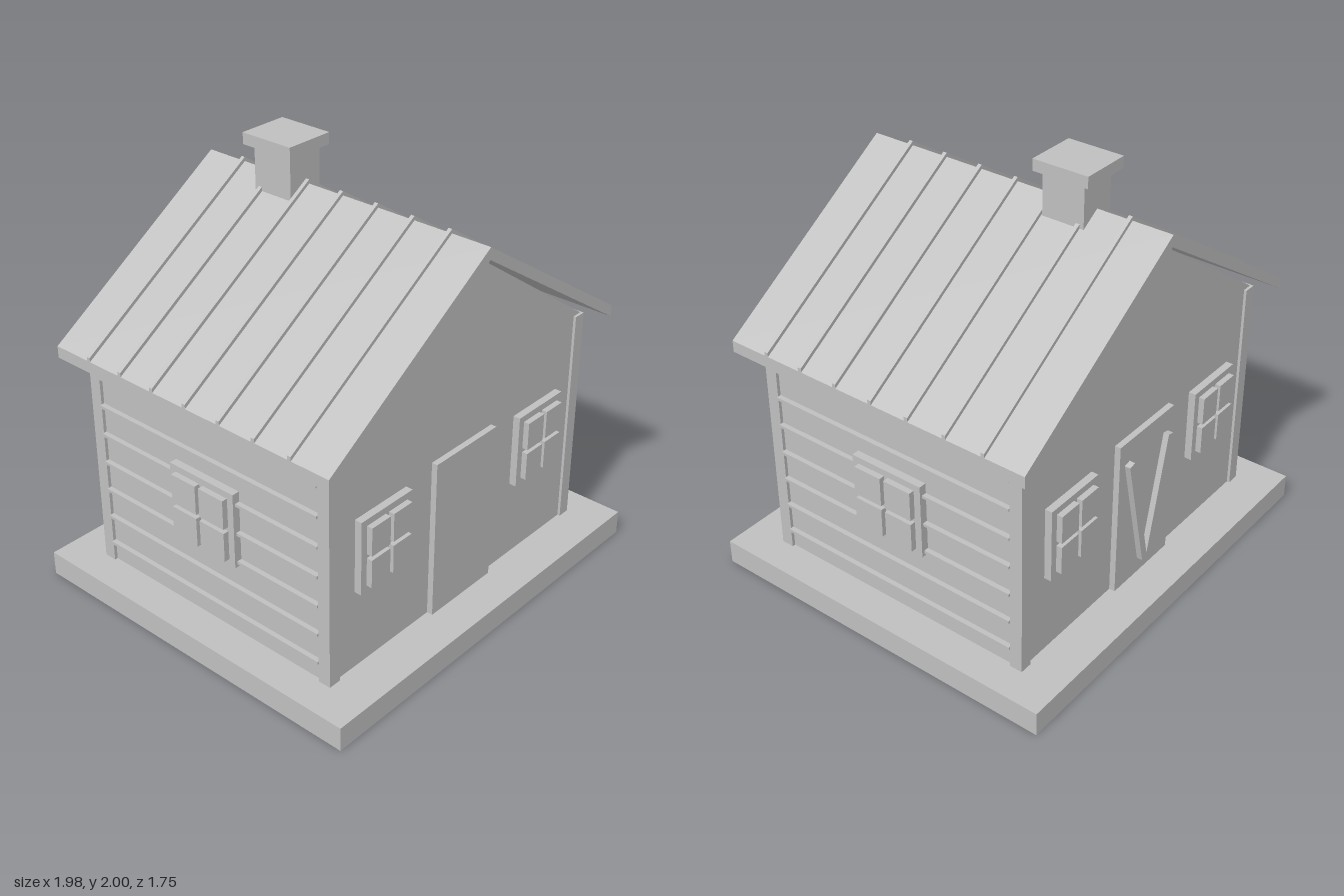
import * as THREE from 'three';

export function createModel() {
  const house = new THREE.Group();
  house.name = 'house';
  const grey = new THREE.MeshStandardMaterial({ color: 0xc0c0c0 });
  grey.name = 'plain grey';

  const add = (name, geometry, parent = house) => {
    const mesh = new THREE.Mesh(geometry, grey);
    mesh.name = name;
    parent.add(mesh);
    return mesh;
  };
  // Box given by its extents on each axis
  const box = (name, [x0, x1], [y0, y1], [z0, z1], parent) => {
    const mesh = add(name, new THREE.BoxGeometry(x1 - x0, y1 - y0, z1 - z0), parent);
    mesh.position.set((x0 + x1) / 2, (y0 + y1) / 2, (z0 + z1) / 2);
    return mesh;
  };
  // Outline in the xy plane, extruded along z about a centre
  const prism = (name, points, depth, z = 0) => {
    const shape = new THREE.Shape(points.map(([x, y]) => new THREE.Vector2(x, y)));
    const geometry = new THREE.ExtrudeGeometry(shape, { depth, bevelEnabled: false });
    geometry.translate(0, 0, z - depth / 2);
    return add(name, geometry);
  };

  // Base slab and gabled body
  box('base', [-0.99, 0.99], [0, 0.115], [-0.873, 0.873]);
  prism('walls', [[-0.825, 0.115], [0.825, 0.115], [0.825, 1.175], [0, 1.748], [-0.825, 1.175]], 1.34);

  // Corner posts
  for (const sx of [-1, 1]) for (const sz of [-1, 1]) {
    const post = box('cornerPost', [-0.03, 0.03], [0.115, 1.17], [-0.03, 0.03]);
    post.position.x = sx * 0.81;
    post.position.z = sz * 0.653;
  }

  // Horizontal siding battens on both sides
  for (const sx of [-1, 1]) for (let i = 0; i < 7; i++) {
    const batten = add('sidingBatten', new THREE.BoxGeometry(0.04, 0.014, 1.246));
    batten.position.set(sx * 0.828, 0.213 + i * 0.142, 0);
  }

  // Roof: a bent sheet with raised ribs
  const chevron = (halfWidth, bottom, top) => {
    const drop = halfWidth * 0.65;
    return [[-halfWidth, bottom - drop], [0, bottom], [halfWidth, bottom - drop],
      [halfWidth, top - drop], [0, top], [-halfWidth, top - drop]];
  };
  prism('roof', chevron(0.932, 1.75, 1.805), 1.532);
  for (let i = -3; i <= 3; i++) prism('roofRib', chevron(0.932, 1.79, 1.824), 0.018, i * 0.189);

  // Chimney
  box('chimneyStack', [-0.09, 0.09], [1.65, 1.95], [-0.407, -0.203]);
  box('chimneyCap', [-0.12, 0.12], [1.947, 2], [-0.444, -0.175]);

  // Windows face +z locally: backing plate and four raised panes
  const makeWindow = (x, y, z, turn, w, h, depth) => {
    const win = new THREE.Group();
    win.name = 'window';
    win.position.set(x, y, z);
    win.rotation.y = turn;
    box('windowFrame', [-w / 2, w / 2], [-h / 2, h / 2], [-0.01, depth], win);
    const pw = w / 2 - 0.033, ph = h / 2 - 0.031;
    for (const sx of [-1, 1]) for (const sy of [-1, 1]) {
      const pane = add('windowPane', new THREE.BoxGeometry(pw - 0.01, ph - 0.01, 0.03), win);
      pane.position.set(sx * (pw + 0.01) / 2, sy * (ph + 0.01) / 2, depth + 0.012);
    }
    house.add(win);
  };
  for (const side of [-1, 1]) {
    const turn = side > 0 ? 0 : Math.PI;
    for (const sx of [-1, 1]) makeWindow(sx * 0.52, 0.672, side * 0.67, turn, 0.312, 0.35, 0.034);
    makeWindow(side * 0.825, 0.656, 0, side * Math.PI / 2, 0.365, 0.36, 0.036);
  }

  // Doors front and back, with a V of braces on the back one
  box('frontDoor', [-0.2, 0.2], [0.115, 0.88], [0.66, 0.698]);
  box('backDoor', [-0.2, 0.2], [0.115, 0.88], [-0.698, -0.66]);
  for (const sx of [-1, 1]) {
    const brace = add('doorBrace', new THREE.BoxGeometry(0.036, 0.59, 0.035));
    brace.position.set(sx * 0.08, 0.485, -0.708);
    brace.rotation.z = -sx * Math.atan2(0.13, 0.57);
  }
  return house;
}
